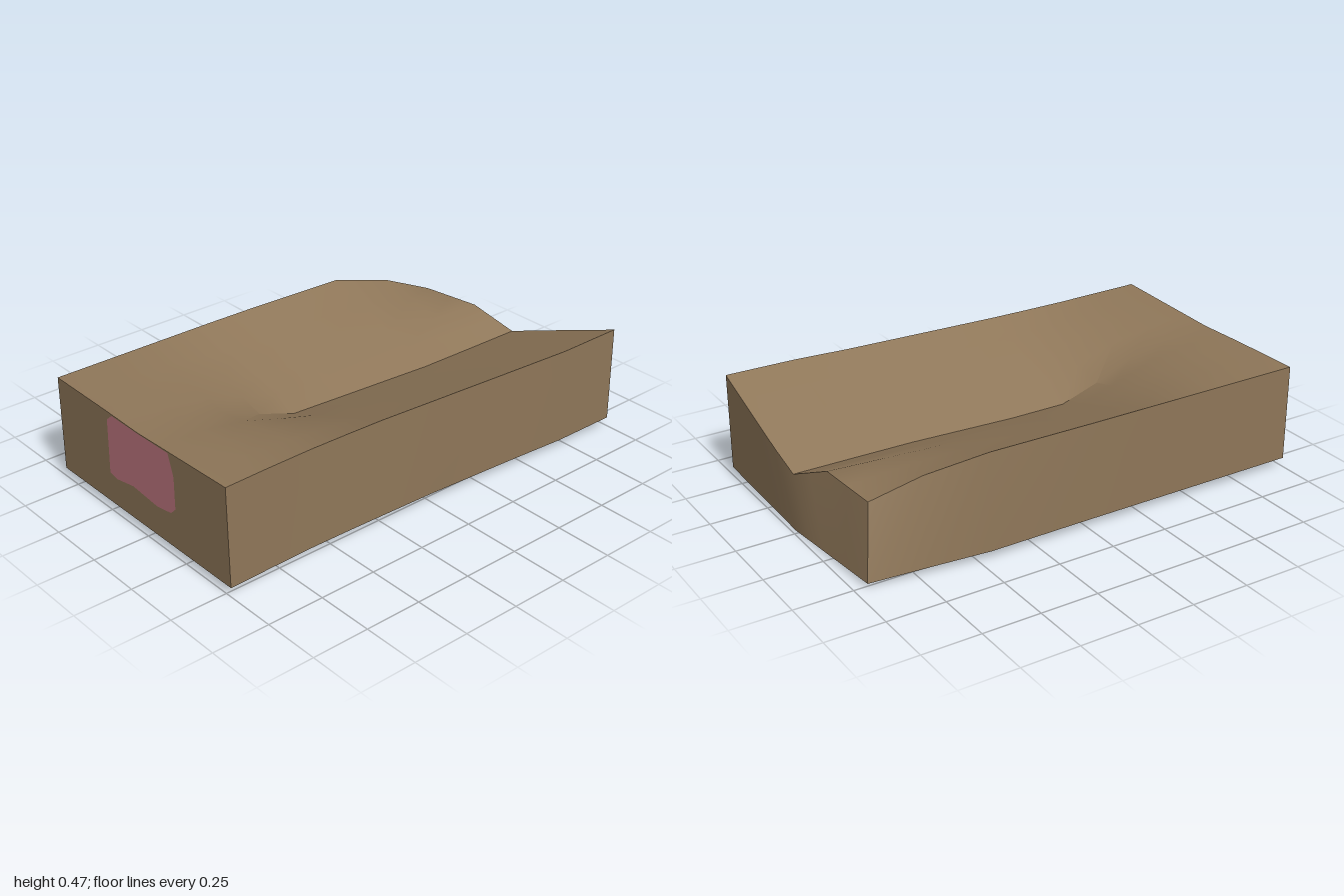
import * as THREE from 'three';
import { toCreasedNormals } from 'three/addons/utils/BufferGeometryUtils.js';

// Cross-sections along x:
// [x, front z, valley z, top back z, bottom back z, rim y, valley y, mid-slope y, back rim y, keel y, bottom back y]
const SECTIONS = [
  [-1.00, 0.52, -0.03, -0.585, -0.585, 0.468, 0.450, 0.456, 0.460, 0.040, 0.040],
  [-0.80, 0.515, -0.03, -0.585, -0.585, 0.468, 0.435, 0.447, 0.460, 0.040, 0.040],
  [-0.60, 0.512, -0.03, -0.585, -0.585, 0.467, 0.392, 0.422, 0.460, 0.034, 0.040],
  [-0.42, 0.515, -0.03, -0.585, -0.585, 0.466, 0.318, 0.376, 0.460, 0.022, 0.040],
  [-0.25, 0.520, -0.025, -0.585, -0.585, 0.465, 0.258, 0.340, 0.460, 0.005, 0.040],
  [0.00, 0.535, -0.015, -0.583, -0.585, 0.463, 0.252, 0.337, 0.459, 0.002, 0.040],
  [0.45, 0.562, 0.015, -0.572, -0.585, 0.460, 0.250, 0.335, 0.455, 0.000, 0.038],
  [0.70, 0.580, 0.018, -0.510, -0.550, 0.461, 0.250, 0.333, 0.400, 0.000, 0.030],
  [0.98, 0.582, 0.020, -0.450, -0.518, 0.463, 0.250, 0.330, 0.320, 0.002, 0.022],
];
// Steps across a section: 0 front rim, 1 valley, 2 back rim
const STEPS = [0, 0.25, 0.5, 0.75, 1, 1.2, 1.4, 1.7, 2];
const MID = 1.4;
const lerp = THREE.MathUtils.lerp;

// Closed ring: over the top front to back, then under the bottom back to front
function ring(section, isEnd) {
  const [x, zf, zv, zbTop, zbLow, rim, valley, mid, backRim, keel, backLow] = section;
  const top = [], low = [];
  for (const t of STEPS) {
    const z = (back, front) => (t < 1 ? lerp(front, zv, t) : lerp(zv, back, t - 1));
    let y;
    if (t < 1) y = lerp(rim, valley, t);
    else if (t < MID) y = lerp(valley, mid, (t - 1) / (MID - 1));
    else y = lerp(mid, backRim, (t - MID) / (2 - MID));
    // The right end slants in toward the back corner
    let xTop = x, xLow = x;
    if (isEnd) {
      if (t < 1) xTop = xLow = lerp(1.0, 0.985, t);
      else {
        xTop = t < MID ? lerp(0.98, 0.925, (t - 1) / (MID - 1)) : lerp(0.925, 0.9, (t - MID) / (2 - MID));
        xLow = lerp(0.985, 0.95, t - 1);
      }
    }
    const yLow = t < 1 ? lerp(0.04, keel, t) : lerp(keel, backLow, t - 1);
    top.push([xTop, y, z(zbTop, zf)]);
    low.push([xLow, yLow, z(zbLow, zf + (x < 0 ? 0.01 : 0.003))]);
  }
  return [...top, ...low.reverse()];
}

function blockGeometry() {
  const rings = SECTIONS.map((s, i) => ring(s, i === SECTIONS.length - 1));
  const count = rings[0].length;
  const positions = [];
  const quad = (a, b, c, d) => positions.push(...a, ...b, ...c, ...a, ...c, ...d);
  // Outer skin
  for (let i = 0; i < rings.length - 1; i++) {
    const r = rings[i], s = rings[i + 1];
    for (let k = 0; k < count; k++) {
      const n = (k + 1) % count;
      quad(r[k], s[k], s[n], r[n]);
    }
  }
  // End faces
  const first = rings[0], last = rings[rings.length - 1];
  for (let k = 0; k < STEPS.length - 1; k++) {
    const under = count - 1 - k;
    quad(last[k], last[under], last[under - 1], last[k + 1]);
    quad(first[k], first[k + 1], first[under - 1], first[under]);
  }
  const geometry = new THREE.BufferGeometry();
  geometry.setAttribute('position', new THREE.Float32BufferAttribute(positions, 3));
  return toCreasedNormals(geometry, 0.5);
}

export function createModel() {
  const group = new THREE.Group();
  group.name = 'groovedBlock';
  const brown = new THREE.MeshStandardMaterial({ color: 0x8f7759 });
  brown.name = 'brown';
  const pink = new THREE.MeshStandardMaterial({ color: 0xc07880 });
  pink.name = 'dusty pink';

  const block = new THREE.Mesh(blockGeometry(), brown);
  block.name = 'block';
  group.add(block);

  // Painted patch on the left-hand end face, drawn as (z, y)
  const outline = [
    [-0.24, 0.18], [-0.19, 0.17], [-0.08, 0.19], [0.08, 0.175], [0.17, 0.19], [0.2, 0.22],
    [0.2, 0.36], [0.17, 0.452], [0.0, 0.449], [-0.1, 0.449], [-0.2, 0.45], [-0.235, 0.42],
  ].map(([z, y]) => new THREE.Vector2(z, y));
  const patch = new THREE.Mesh(new THREE.ShapeGeometry(new THREE.Shape(outline)), pink);
  patch.name = 'endPatch';
  patch.rotation.y = -Math.PI / 2;
  patch.position.x = -1.002;
  group.add(patch);

  return group;
}
